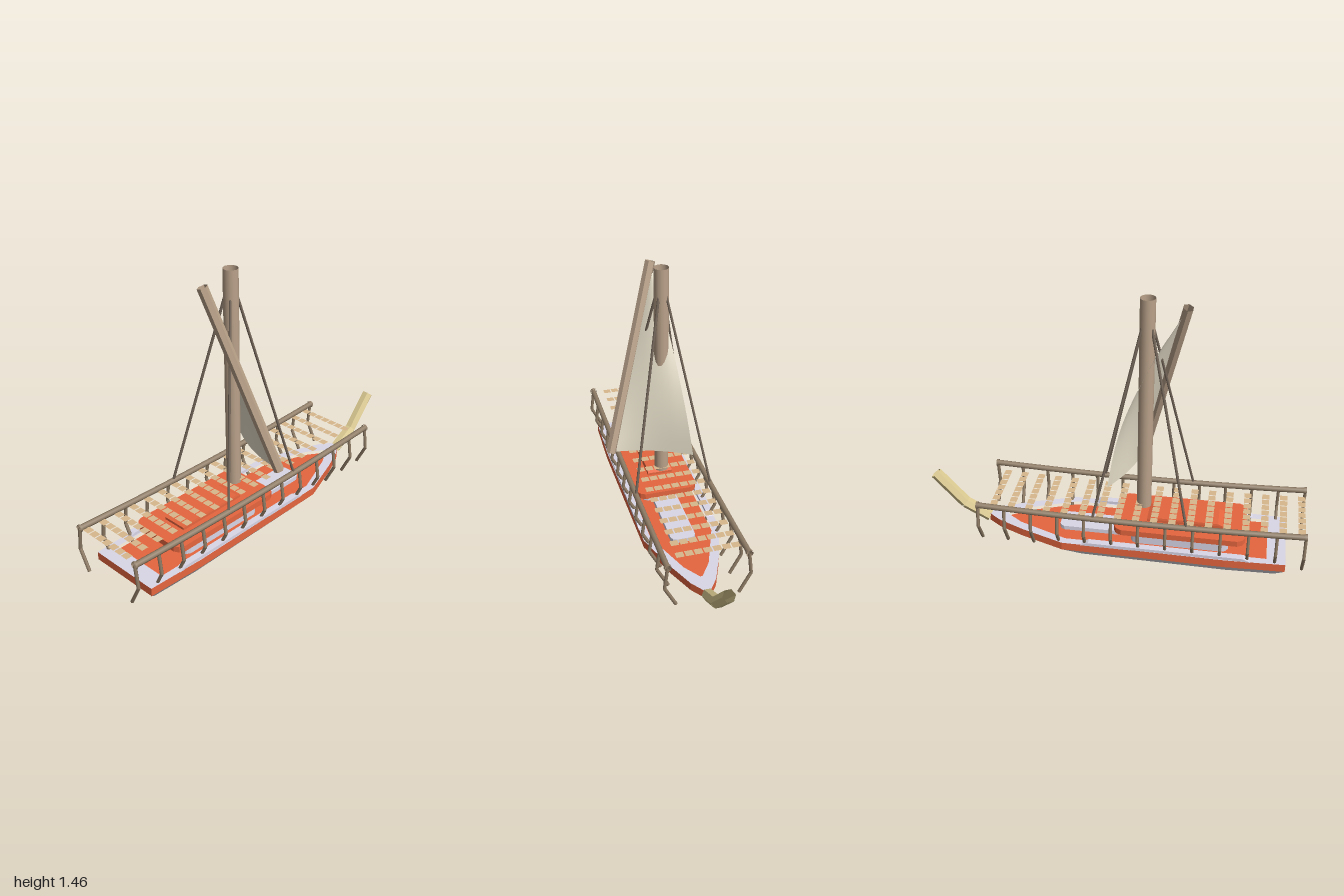
import * as THREE from 'three';
import { mergeGeometries } from 'three/addons/utils/BufferGeometryUtils.js';

const mat = (name, color, opts = {}) => {
  const m = new THREE.MeshStandardMaterial({ color, ...opts });
  m.name = name;
  return m;
};
const V = (x, y, z) => new THREE.Vector3(x, y, z);

// open-ended pipe between two points
function rod(a, b, r, sides = 8) {
  const dir = b.clone().sub(a);
  const g = new THREE.CylinderGeometry(r, r, dir.length(), sides, 1, true);
  g.applyQuaternion(new THREE.Quaternion().setFromUnitVectors(V(0, 1, 0), dir.normalize()));
  return g.translate(...a.clone().add(b).multiplyScalar(0.5).toArray());
}

// unshared corners, so every face is flat
function faceted(geo) {
  const g = geo.toNonIndexed();
  g.computeVertexNormals();
  return g;
}

// closed outline from [x, halfWidth] pairs, mirrored across the keel
const mirrored = (half) => [...half, ...half.map(([x, w]) => [x, -w]).reverse()];
const shapeOf = (pts) => new THREE.Shape(pts.map(([x, y]) => new THREE.Vector2(x, y)));

// horizontal slab from y0 to y1
function slab(shape, y0, y1) {
  return new THREE.ExtrudeGeometry(shape, { depth: y1 - y0, bevelEnabled: false })
    .rotateX(-Math.PI / 2).translate(0, y0, 0);
}

// rectangle in plan with cut corners
function cutRect(x0, x1, w, c) {
  return shapeOf(mirrored([[x0, w - c], [x0 + c * 0.35, w - c * 0.35], [x0 + c, w],
    [x1 - c, w], [x1 - c * 0.35, w - c * 0.35], [x1, w - c]]));
}

// skin over outlines stacked in y, closed underneath
function loft(rings) {
  const n = rings[0].pts.length, pos = [], idx = [];
  rings.forEach(({ y, pts }) => pts.forEach(([x, z]) => pos.push(x, y, z)));
  for (let r = 0; r < rings.length - 1; r++) {
    for (let i = 0; i < n; i++) {
      const a = r * n + i, b = r * n + (i + 1) % n;
      idx.push(a, b, b + n, a, b + n, a + n);
    }
  }
  for (let i = 0; i < n / 2 - 1; i++) {
    idx.push(i, n - 1 - i, n - 2 - i, i, n - 2 - i, i + 1);
  }
  const g = new THREE.BufferGeometry();
  g.setAttribute('position', new THREE.Float32BufferAttribute(pos, 3));
  g.setIndex(idx);
  return faceted(g);
}

export function createModel() {
  const model = new THREE.Group();
  model.name = 'sailingBoat';
  const boat = new THREE.Group();
  boat.name = 'boat';
  boat.position.z = -0.042;
  model.add(boat);

  const open = { side: THREE.DoubleSide };
  const hullGrey = mat('hull grey', 0xdcdbe2);
  const red = mat('painted red', 0xe6663f);
  const pale = mat('pale lavender', 0xdedbec);
  const mastWood = mat('mast wood', 0xbaa28a, open);
  const railWood = mat('rail wood', 0x917e67, open);
  const slatWood = mat('slat wood', 0xd8b88c, open);
  const prowWood = mat('prow wood', 0xdccb92, open);
  const ropeBrown = mat('rope brown', 0x75675a, open);
  const canvas = mat('sail canvas', 0xebe3ce, open);

  const add = (name, geo, material, parent = boat) => {
    const m = new THREE.Mesh(geo, material);
    m.name = name;
    parent.add(m);
  };

  // hull
  const top = mirrored([[-0.905, 0.2], [-0.6, 0.212], [0.25, 0.205], [0.48, 0.125], [0.62, 0.065], [0.69, 0.015]]);
  const mid = mirrored([[-0.855, 0.155], [-0.6, 0.165], [0.15, 0.155], [0.3, 0.1], [0.4, 0.045], [0.455, 0.01]]);
  const keel = mirrored([[-0.82, 0.095], [-0.6, 0.1], [-0.1, 0.095], [0.03, 0.06], [0.1, 0.03], [0.14, 0.006]]);
  add('lowerHull', loft([{ y: 0, pts: keel }, { y: 0.032, pts: mid }, { y: 0.088, pts: top }]), hullGrey);

  // red side band with pale gunwale on top, and sunken deck
  const inner = mirrored([[-0.81, 0.165], [0.24, 0.165], [0.5, 0.065], [0.585, 0.006]]);
  const band = shapeOf(top);
  band.holes.push(shapeOf(inner));
  add('gunwale', slab(band, 0.088, 0.132), [pale, red]);
  add('deck', slab(shapeOf(inner), 0.09, 0.112), red);

  // raised strips along the gunwale
  const strip = shapeOf([[-0.73, 0.13], [0.15, 0.13], [0.11, 0.148], [-0.69, 0.148]]);
  for (const s of [1, -1]) {
    const g = new THREE.ExtrudeGeometry(strip, { depth: 0.036, bevelEnabled: false });
    add('gunwaleStrip', g.translate(0, 0, s * 0.19 - 0.018), pale);
  }

  // cabin
  add('cabin', slab(cutRect(-0.61, -0.1, 0.12, 0.03), 0.1, 0.195), pale);
  add('foredeckHatch', slab(cutRect(-0.12, 0.29, 0.066, 0.025), 0.1, 0.135), pale);
  add('roof', slab(cutRect(-0.695, -0.015, 0.165, 0.04), 0.19, 0.222), red);
  const lid = (x0, x1, w) => mirrored([[x0, w], [x1, w]]);
  add('roofHatch', loft([{ y: 0.22, pts: lid(-0.575, -0.18, 0.068) }, { y: 0.235, pts: lid(-0.575, -0.18, 0.068) },
    { y: 0.246, pts: lid(-0.55, -0.205, 0.066) }]), red);
  add('roofHatchTop', new THREE.PlaneGeometry(0.345, 0.132).rotateX(-Math.PI / 2).translate(-0.3775, 0.246, 0), red);

  // sagging side rails on bent posts
  const railY = (x) => 0.303 + 0.018 * ((x + 0.15) / 0.84) ** 2;
  for (const s of [1, -1]) {
    const pts = Array.from({ length: 13 }, (_, i) => -0.99 + i * 0.14).map((x) => V(x, railY(x), s * 0.202));
    const side = new THREE.Group();
    side.name = s > 0 ? 'frontRail' : 'backRail';
    boat.add(side);
    add('rail', new THREE.TubeGeometry(new THREE.CatmullRomCurve3(pts), 24, 0.015, 8), railWood, side);
    for (const p of [pts[0], pts[12]]) {
      add('railCollar', rod(p.clone().add(V(-0.006, 0, 0)), p.clone().add(V(0.006, 0, 0)), 0.019), railWood, side);
    }
    for (const p of pts) {
      const knee = V(p.x, 0.196, s * 0.217), foot = V(p.x, 0.086, s * 0.16);
      add('post', mergeGeometries([rod(p, knee, 0.009, 6), rod(knee, foot, 0.009, 6)]), railWood, side);
    }
  }

  // rows of thin slats between the rails
  const slats = [];
  for (let i = 0; i < 18; i++) {
    const x = -0.97 + i * 0.093;
    for (let j = 0; j < 7; j++) {
      slats.push(new THREE.PlaneGeometry(0.037, 0.04).rotateX(-Math.PI / 2)
        .translate(x, railY(x), -0.161 + j * 0.047));
    }
  }
  add('slats', mergeGeometries(slats), slatWood);

  // prow spar in two angled pieces
  const bend = V(0.825, 0.18, 0);
  add('prowLower', faceted(rod(V(0.69, 0.106, 0), bend, 0.032, 6)), prowWood);
  add('prowUpper', faceted(rod(bend, V(0.977, 0.355, 0), 0.032, 6)), prowWood);

  // mast, with stays running from inside it down to the rails
  add('mast', rod(V(-0.155, 0.283, 0), V(-0.155, 1.455, 0), 0.038, 14), mastWood);
  for (const sx of [1, -1]) {
    for (const sz of [1, -1]) {
      add('stay', rod(V(-0.155, 1.42, 0), V(-0.155 + sx * 0.24, 0.31, sz * 0.202), 0.007, 6), ropeBrown);
    }
  }

  // slanted yard
  const foot = V(-0.12, 0.455, 0.242), head = V(-0.343, 1.415, -0.036);
  add('yard', faceted(rod(foot, head, 0.027, 6)), mastWood, model);

  // sail stretched from the yard to a curved free edge, hollow below and full at mid height
  const leech = new THREE.CatmullRomCurve3([V(0.02, 0.455, -0.168), V(-0.016, 0.68, -0.14), V(-0.07, 0.87, -0.115),
    V(-0.19, 1.14, -0.078), V(-0.325, 1.38, -0.035)]);
  const sail = new THREE.PlaneGeometry(1, 1, 8, 12);
  const p = sail.attributes.position;
  for (let i = 0; i < p.count; i++) {
    const u = p.getX(i) + 0.5, t = p.getY(i) + 0.5;
    const q = foot.clone().lerp(head, t * 0.963).lerp(leech.getPoint(t), u);
    const belly = 4 * u * (1 - u) * (-0.03 + 0.2 * t - 0.17 * t * t);
    p.setXYZ(i, q.x + belly, q.y, q.z);
  }
  sail.computeVertexNormals();
  add('sail', sail, canvas, model);

  return model;
}
